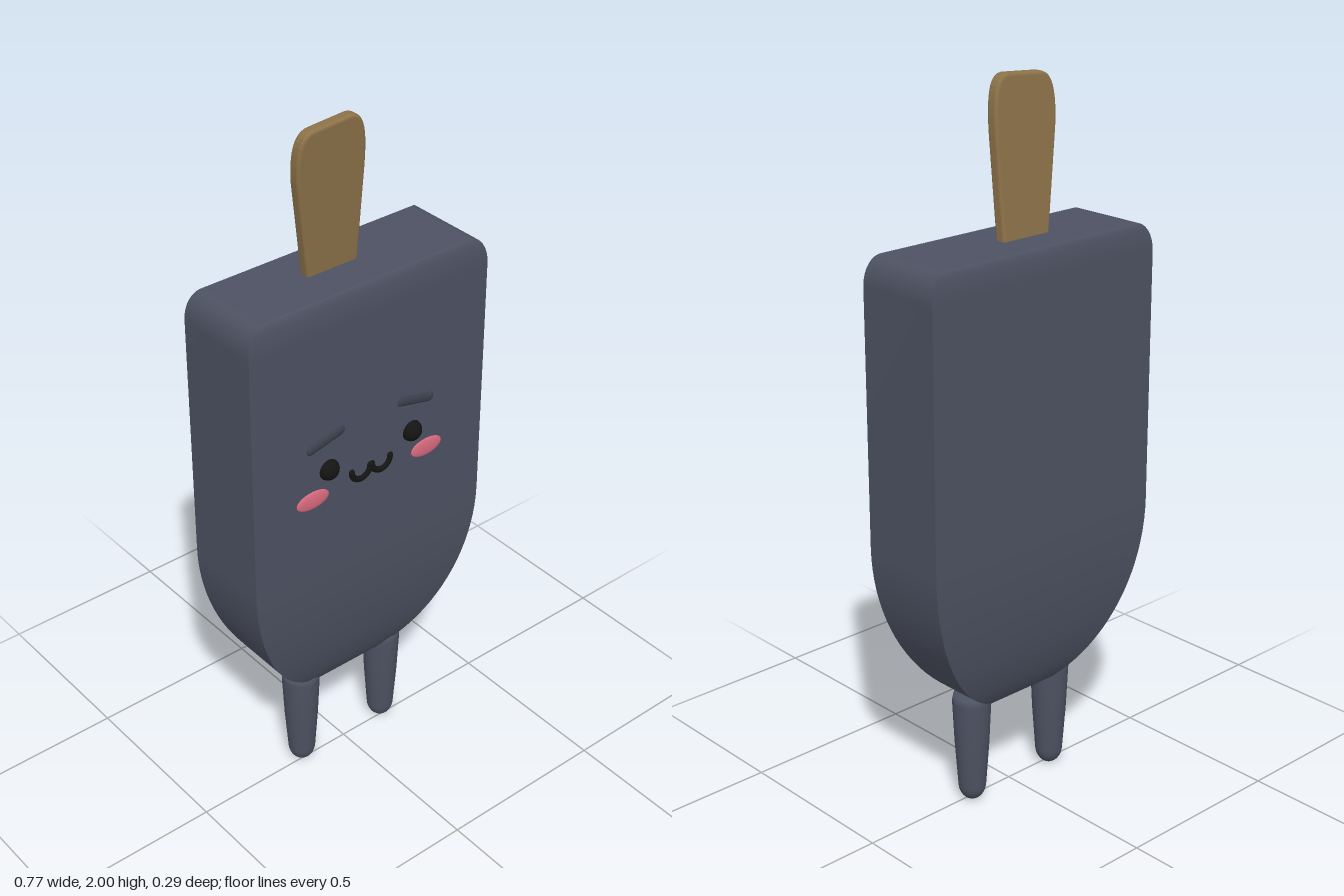
import * as THREE from 'three';

const mat = (color) => new THREE.MeshStandardMaterial({ color });

export function createModel() {
  const root = new THREE.Group();
  const slate = mat(0x4d5262), wood = mat(0x8c7249), black = mat(0x141412), pink = mat(0xdb6b80);
  const browMat = mat(0x3c404b);

  const add = (name, geometry, material, x = 0, y = 0, z = 0, parent = root) => {
    const mesh = new THREE.Mesh(geometry, material);
    mesh.name = name;
    mesh.position.set(x, y, z);
    parent.add(mesh);
    return mesh;
  };

  // Body: a rectangle scaled along y, rounded at the bottom and softened at the top
  const W = 0.385, D = 0.13, ZC = -0.015;
  const rows = [];
  for (let i = 0; i <= 20; i++) {
    const a = (1 - i / 20) * Math.asin(0.495 / 0.52);
    rows.push([Math.cos(a), 0.8 - 0.52 * Math.sin(a)]);
  }
  for (let i = 0; i <= 8; i++) {
    const a = (i / 8) * Math.PI / 2;
    rows.push([0.87 + 0.13 * Math.cos(a), 1.505 + 0.08 * Math.sin(a)]);
  }
  const body = new THREE.Group();
  body.name = 'body';
  root.add(body);
  const corners = [[1, 1], [1, -1], [-1, -1], [-1, 1]];
  ['leftSide', 'back', 'rightSide', 'front'].forEach((name, k) => {
    const g = new THREE.PlaneGeometry(1, 1, 1, rows.length - 1);
    const p = g.attributes.position;
    for (let i = 0; i < p.count; i++) {
      const [s, y] = rows[rows.length - 1 - Math.floor(i / 2)];
      const [cx, cz] = corners[(k + (i % 2)) % 4];
      p.setXYZ(i, cx * W * s, y, ZC + cz * D * s);
    }
    g.computeVertexNormals();
    add(name, g, slate, 0, 0, 0, body);
  });
  // Flat caps closing the body
  const cap = (name, [s, y], dir) =>
    add(name, new THREE.PlaneGeometry(2 * W * s, 2 * D * s).rotateX(-dir * Math.PI / 2), slate, 0, y, ZC, body);
  cap('topCap', rows[rows.length - 1], 1);
  cap('bottomCap', rows[0], -1);

  // Legs: tapered with rounded feet
  const legProfile = [new THREE.Vector2(0, 0.004)];
  for (let i = 1; i <= 8; i++) {
    const a = (i / 8) * Math.PI / 2;
    legProfile.push(new THREE.Vector2(0.039 * Math.sin(a), 0.054 - 0.05 * Math.cos(a)));
  }
  legProfile.push(new THREE.Vector2(0.048, 0.18), new THREE.Vector2(0.054, 0.31),
    new THREE.Vector2(0.05, 0.332), new THREE.Vector2(0, 0.336));

  // Stick: flared outline, leaning forward toward its tip
  const outline = new THREE.Shape();
  outline.moveTo(-0.09, 1.5);
  outline.lineTo(0.042, 1.5);
  outline.lineTo(0.046, 1.85);
  outline.bezierCurveTo(0.046, 1.94, 0.035, 1.992, 0.0, 1.992);
  outline.lineTo(-0.11, 1.984);
  outline.bezierCurveTo(-0.145, 1.982, -0.155, 1.94, -0.147, 1.86);
  outline.lineTo(-0.1, 1.58);
  outline.closePath();
  const stick = new THREE.ExtrudeGeometry(outline, {
    depth: 0.018, bevelThickness: 0.008, bevelSize: 0.008, bevelSegments: 3, curveSegments: 10,
  });
  const sp = stick.attributes.position;
  for (let i = 0; i < sp.count; i++) {
    sp.setZ(i, sp.getZ(i) - 0.009 - 0.022 + (sp.getY(i) - 1.58) * 0.09);
  }
  stick.computeVertexNormals();
  add('stick', stick, wood);

  // Face and legs, mirrored left and right
  const face = new THREE.Group();
  face.name = 'face';
  face.position.set(-0.003, 0, 0.115);
  root.add(face);
  for (const s of [1, -1]) {
    const side = s > 0 ? 'left' : 'right';
    add(side + 'Leg', new THREE.LatheGeometry(legProfile, 24), slate, s * 0.148, 0, -0.01);
    add(side + 'Eye', new THREE.SphereGeometry(0.03, 24, 16), black, s * 0.14, 1.09, 0, face)
      .scale.z = 0.85;
    add(side + 'Cheek', new THREE.SphereGeometry(1, 28, 12), pink, s * 0.193, 1.016, 0, face)
      .scale.set(0.053, 0.027, 0.006);
    const brow = add(side + 'Brow', new THREE.CapsuleGeometry(0.014, 0.098, 6, 12).rotateZ(Math.PI / 2),
      browMat, s * 0.15, 1.184, 0, face);
    brow.rotation.z = -s * 0.23;
    brow.scale.z = 0.5;

    // Half of the mouth: one hanging arc with rounded ends
    const mouth = new THREE.Group();
    mouth.name = side + 'Mouth';
    mouth.position.set(s * 0.034, 1.046, 0.001);
    mouth.scale.z = 0.9;
    face.add(mouth);
    add('mouthArc', new THREE.TorusGeometry(0.031, 0.009, 10, 20, Math.PI).rotateZ(Math.PI), black, 0, 0, 0, mouth);
    for (const e of [-1, 1]) {
      add('mouthEnd', new THREE.SphereGeometry(0.009, 12, 8), black, e * 0.031, 0, 0, mouth);
    }
  }
  return root;
}
